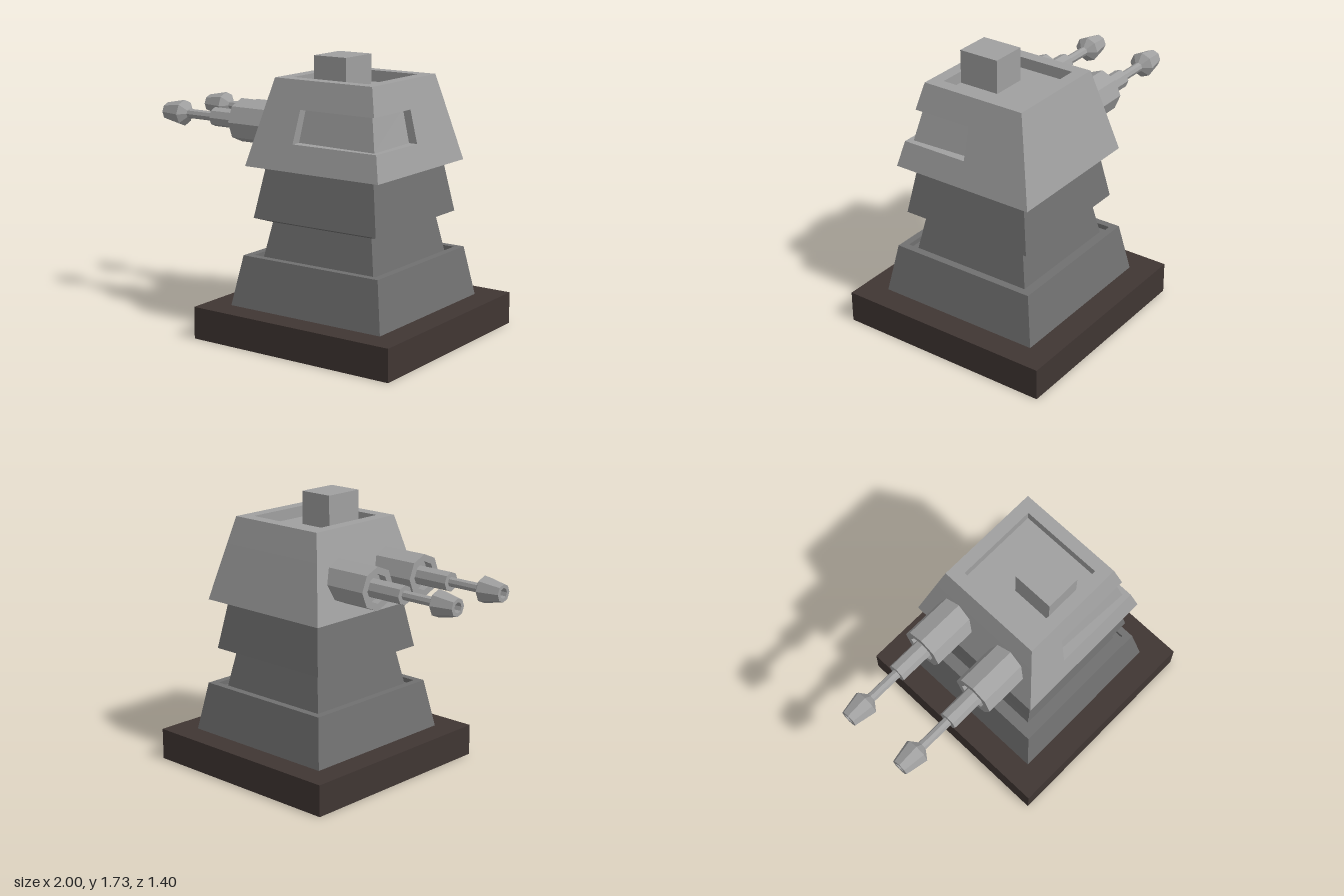
import * as THREE from 'three';

const CX = 0.3; // tower axis, offset from the middle of the model

const material = (color) => new THREE.MeshStandardMaterial({ color, flatShading: true });

// Square outline of half-width h, counter-clockwise seen from above
const square = (h) => [[-h, h], [h, h], [h, -h], [-h, -h]];

// Joins [outline, y] rings with flat faces; optional flat caps at the ends
function loft(rings, capBottom = false, capTop = false) {
  const pos = [];
  const tri = (...pts) => pts.forEach((p) => pos.push(...p));
  const pts = rings.map(([outline, y]) => outline.map(([x, z]) => [x, y, z]));
  for (let r = 0; r < pts.length - 1; r++) {
    const lo = pts[r], hi = pts[r + 1], n = lo.length;
    for (let i = 0; i < n; i++) {
      const j = (i + 1) % n;
      tri(lo[i], lo[j], hi[j]);
      tri(lo[i], hi[j], hi[i]);
    }
  }
  const first = pts[0], last = pts[pts.length - 1];
  for (let i = 1; capBottom && i < first.length - 1; i++) tri(first[0], first[i + 1], first[i]);
  for (let i = 1; capTop && i < last.length - 1; i++) tri(last[0], last[i], last[i + 1]);
  const geo = new THREE.BufferGeometry();
  geo.setAttribute('position', new THREE.Float32BufferAttribute(pos, 3));
  geo.computeVertexNormals();
  return geo;
}

const squareLoft = (profile, ...caps) => loft(profile.map(([h, y]) => [square(h), y]), ...caps);

// Square outline with the front left corner cut back for the window
const notched = (h, start, deepFront, corner, deepSide) => [
  [-h, h], [start, h], [start, deepFront], [corner, corner],
  [deepSide, 0], [h, 0], [h, -h], [-h, -h],
];

export function createModel() {
  const model = new THREE.Group();
  model.name = 'gunTurret';
  const slabMat = material(0x403633);
  const towerMat = material(0x707070);
  const headMat = material(0xa0a0a0);

  const add = (name, geo, mat, x, y, z, parent = model) => {
    const mesh = new THREE.Mesh(geo, mat);
    mesh.name = name;
    mesh.position.set(x, y, z);
    parent.add(mesh);
    return mesh;
  };

  // Ground slab
  add('baseSlab', new THREE.BoxGeometry(1.4, 0.2, 1.4), slabMat, CX, 0.1, 0);

  // Stepped tower: skirt with a grooved rim, waist, flared collar
  add('tower', squareLoft([
    [0.54, 0.2], [0.485, 0.51], [0.44, 0.51], [0.44, 0.48], [0.4, 0.48],
    [0.357, 0.71], [0.44, 0.74], [0.385, 1.06],
  ]), towerMat, CX, 0, 0);

  // Head: lower band, band with the corner window, upper band with sunken roof
  const head = new THREE.Group();
  head.name = 'head';
  head.position.x = CX;
  model.add(head);
  add('headLower', squareLoft([[0.475, 1.06], [0.436, 1.22]], true, true), headMat, 0, 0, 0, head);
  add('headWindowBand', loft([
    [notched(0.436, -0.15, 0.371, 0.4, 0.38), 1.22],
    [notched(0.387, -0.13, 0.33, 0.355, 0.335), 1.42],
  ]), headMat, 0, 0, 0, head);
  add('headUpper', squareLoft([
    [0.387, 1.42], [0.345, 1.59], [0.267, 1.59], [0.267, 1.52],
  ], true, true), headMat, 0, 0, 0, head);

  // Block on the roof
  add('roofBlock', new THREE.BoxGeometry(0.23, 0.21, 0.265), headMat, 0.295, 1.625, 0.132);

  // Twin guns pointing to -x: sleeve, barrel, rod and flared hollow muzzle
  const gunProfile = [
    [0.135, 0], [0.135, 0.4], [0.09, 0.4], [0.09, 0.35], [0.06, 0.35],
    [0.06, 0.61], [0.03, 0.61], [0.03, 0.82], [0.083, 0.86], [0.055, 1],
    [0.032, 1], [0.032, 0.94], [0, 0.94],
  ].map(([r, d]) => new THREE.Vector2(r, d));
  const gunGeo = new THREE.LatheGeometry(gunProfile, 8).toNonIndexed();
  gunGeo.computeVertexNormals();
  for (const [name, z] of [['frontGun', 0.22], ['rearGun', -0.2]]) {
    add(name, gunGeo, headMat, 0, 1.285, z).rotation.z = Math.PI / 2;
  }

  return model;
}
